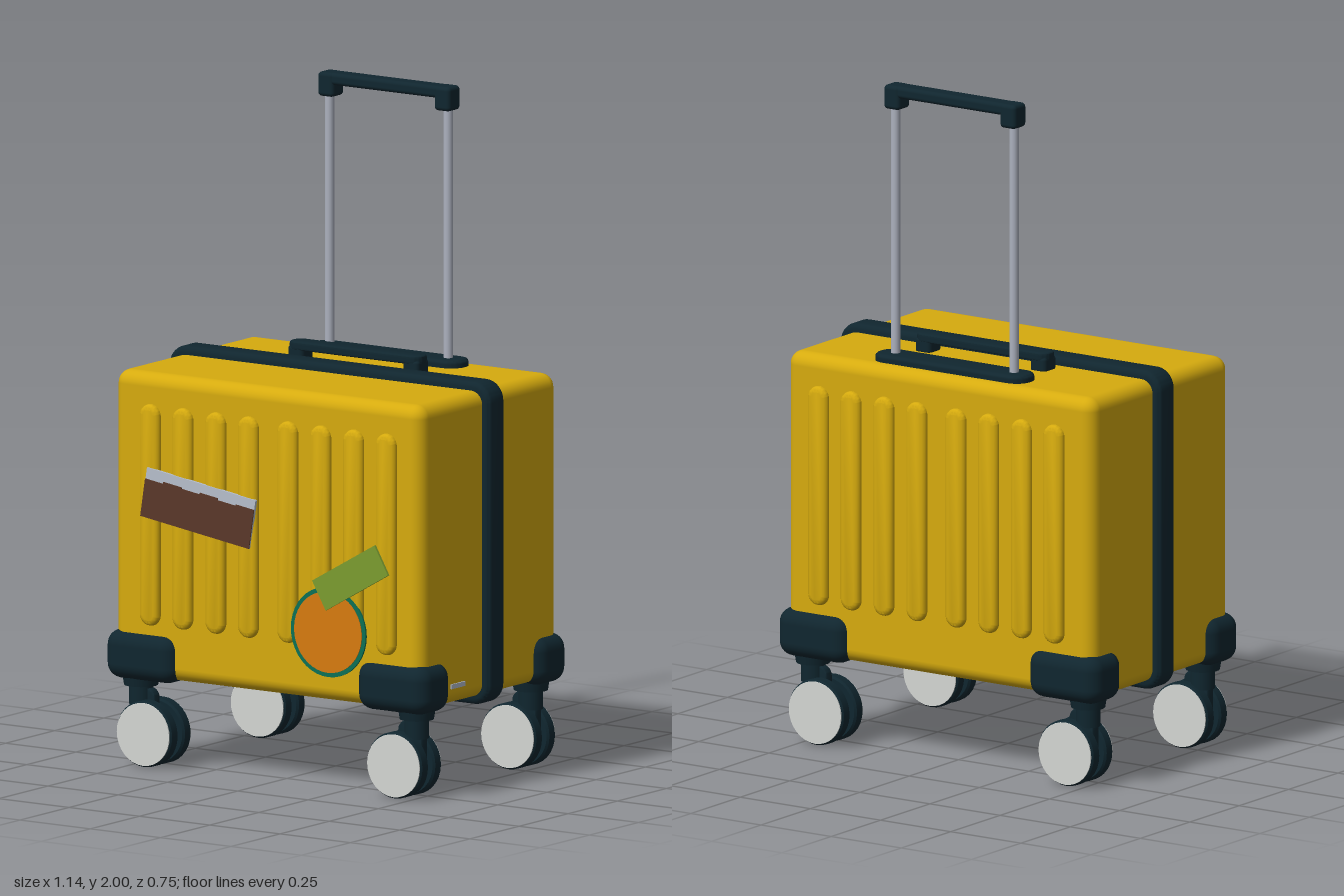
import * as THREE from 'three';
import { toCreasedNormals } from 'three/addons/utils/BufferGeometryUtils.js';
import { RoundedBoxGeometry } from 'three/addons/geometries/RoundedBoxGeometry.js';

const material = (name, color) => {
  const m = new THREE.MeshStandardMaterial({ color });
  m.name = name;
  return m;
};

// Rounded rectangle slab in the XY plane, centred, with bevelled rims
function slab(w, h, d, r, b) {
  const x = w / 2 - b, y = h / 2 - b, q = Math.max(r - b, 0.001);
  const s = new THREE.Shape();
  s.moveTo(-x + q, -y);
  s.lineTo(x - q, -y);
  s.absarc(x - q, -y + q, q, -Math.PI / 2, 0);
  s.lineTo(x, y - q);
  s.absarc(x - q, y - q, q, 0, Math.PI / 2);
  s.lineTo(-x + q, y);
  s.absarc(-x + q, y - q, q, Math.PI / 2, Math.PI);
  s.lineTo(-x, -y + q);
  s.absarc(-x + q, -y + q, q, Math.PI, Math.PI * 1.5);
  const g = new THREE.ExtrudeGeometry(s, {
    depth: d - 2 * b, bevelEnabled: true, bevelSize: b, bevelThickness: b,
    bevelSegments: 3, curveSegments: 8,
  });
  g.translate(0, 0, -(d - 2 * b) / 2);
  return toCreasedNormals(g, 0.6);
}

export function createModel() {
  const model = new THREE.Group();
  model.name = 'suitcase';

  const yellow = material('shell yellow', 0xd6ab0e);
  const dark = material('dark trim', 0x10262f);
  const silver = material('silver tube', 0xacb1be);
  const pale = material('pale sticker', 0xb6bfcc);
  const white = material('wheel cap', 0xd4d6d3);
  const brown = material('brown sticker', 0x5a3829);
  const orange = material('orange sticker', 0xd87b0f);
  const teal = material('teal sticker edge', 0x0c7055);
  const green = material('green sticker', 0x7b9c30);

  const add = (name, geometry, mat, x = 0, y = 0, z = 0, parent = model) => {
    const mesh = new THREE.Mesh(geometry, mat);
    mesh.name = name;
    mesh.position.set(x, y, z);
    parent.add(mesh);
    return mesh;
  };

  // Shell and the band around its middle
  add('shell', new RoundedBoxGeometry(1.094, 0.905, 0.70, 4, 0.04), yellow, 0, 0.72, 0);
  add('middleBand', slab(1.142, 0.955, 0.084, 0.06, 0.016), dark, 0, 0.72, -0.003);

  // Raised ribs, two sets of four on the front and the back
  const rib = slab(0.07, 0.656, 0.05, 0.035, 0.016);
  for (const x of [-0.413, -0.297, -0.18, -0.064, 0.076, 0.193, 0.31, 0.426]) {
    for (const side of [1, -1]) {
      add(side > 0 ? 'frontRib' : 'backRib', rib, yellow, x, 0.755, side * 0.343);
    }
  }

  // Corner guards and twin wheels
  const guard = new RoundedBoxGeometry(0.25, 0.145, 0.155, 4, 0.045);
  const tyre = toCreasedNormals(new THREE.LatheGeometry([
    [0, -0.02], [0.092, -0.02], [0.098, -0.014], [0.098, 0.014], [0.092, 0.02], [0, 0.02],
  ].map(([r, y]) => new THREE.Vector2(r, y)), 32), 0.6).rotateX(Math.PI / 2);
  const cap = new THREE.CylinderGeometry(0.093, 0.093, 0.006, 32).rotateX(Math.PI / 2);
  const axle = new THREE.CylinderGeometry(0.045, 0.045, 0.09, 16).rotateX(Math.PI / 2);
  const mount = new THREE.CylinderGeometry(0.055, 0.05, 0.032, 20);
  const stem = new THREE.CylinderGeometry(0.036, 0.036, 0.07, 20);
  const fork = slab(0.085, 0.14, 0.03, 0.03, 0.004);
  for (const sx of [1, -1]) {
    for (const sz of [1, -1]) {
      add('cornerGuard', guard, dark, sx * 0.447, 0.331, sz * 0.296);
      const caster = new THREE.Group();
      caster.name = 'caster';
      caster.position.set(sx * 0.445, 0.1, sz * 0.29);
      model.add(caster);
      for (const e of [1, -1]) {
        add('tyre', tyre, dark, 0, 0, e * 0.033, caster);
        add('wheelCap', cap, white, 0, 0, e * 0.0525, caster);
      }
      add('axle', axle, dark, 0, 0, 0, caster);
      add('fork', fork, dark, sx * 0.03, 0.06, 0, caster);
      add('stem', stem, dark, sx * 0.045, 0.115, 0, caster);
      add('casterMount', mount, dark, sx * 0.045, 0.152, 0, caster);
    }
  }

  // Telescopic handle
  const hx = 0.005, hz = -0.262;
  add('handleBase', slab(0.54, 0.10, 0.04, 0.045, 0.012).rotateX(-Math.PI / 2), dark, hx, 1.175, hz);
  const tube = new THREE.CylinderGeometry(0.014, 0.014, 0.78, 16);
  const gripEnd = new RoundedBoxGeometry(0.056, 0.072, 0.062, 3, 0.012);
  for (const s of [1, -1]) {
    add('handleTube', tube, silver, hx + s * 0.211, 1.57, hz);
    add('gripEnd', gripEnd, dark, hx + s * 0.207, 1.964, hz);
  }
  add('grip', new RoundedBoxGeometry(0.46, 0.036, 0.058, 3, 0.012), dark, hx, 1.982, hz);

  // Carry handle on top
  add('carryHandle', slab(0.47, 0.066, 0.026, 0.03, 0.008).rotateX(-Math.PI / 2), dark, hx, 1.214, -0.106);
  const foot = new RoundedBoxGeometry(0.055, 0.05, 0.062, 2, 0.012);
  for (const s of [1, -1]) add('carryHandleFoot', foot, dark, hx + s * 0.205, 1.19, -0.106);

  // Skyline sticker: pale backing with a brown stepped panel
  const skyline = new THREE.Group();
  skyline.name = 'skylineSticker';
  skyline.position.set(-0.23, 0.797, 0.368);
  skyline.rotation.z = -0.15;
  model.add(skyline);
  add('stickerBacking', new THREE.BoxGeometry(0.39, 0.147, 0.009), pale, 0, 0, 0, skyline);
  const steps = [0.045, 0.041, 0.047, 0.042, 0.046, 0.04];
  const panel = new THREE.Shape();
  panel.moveTo(-0.195, -0.0735);
  panel.lineTo(0.195, -0.0735);
  steps.forEach((h, i) => {
    panel.lineTo(0.195 - i * 0.065, h);
    panel.lineTo(0.195 - (i + 1) * 0.065, h);
  });
  add('stickerPanel', new THREE.ExtrudeGeometry(panel, { depth: 0.003, bevelEnabled: false }),
    brown, 0, 0, 0.0045, skyline);

  // Round sticker and the slanted strip over it
  const disc = (r, d) => new THREE.CylinderGeometry(r, r, d, 40).rotateX(Math.PI / 2);
  add('roundStickerEdge', disc(0.133, 0.006), teal, 0.231, 0.477, 0.367);
  add('roundSticker', disc(0.12, 0.004), orange, 0.231, 0.477, 0.3705);
  add('stripSticker', new THREE.BoxGeometry(0.255, 0.097, 0.008), green, 0.313, 0.647, 0.373)
    .rotation.z = 0.52;

  // Small plate low on the left side
  add('sidePlate', new THREE.BoxGeometry(0.006, 0.014, 0.07), pale, 0.548, 0.323, 0.165);

  return model;
}
